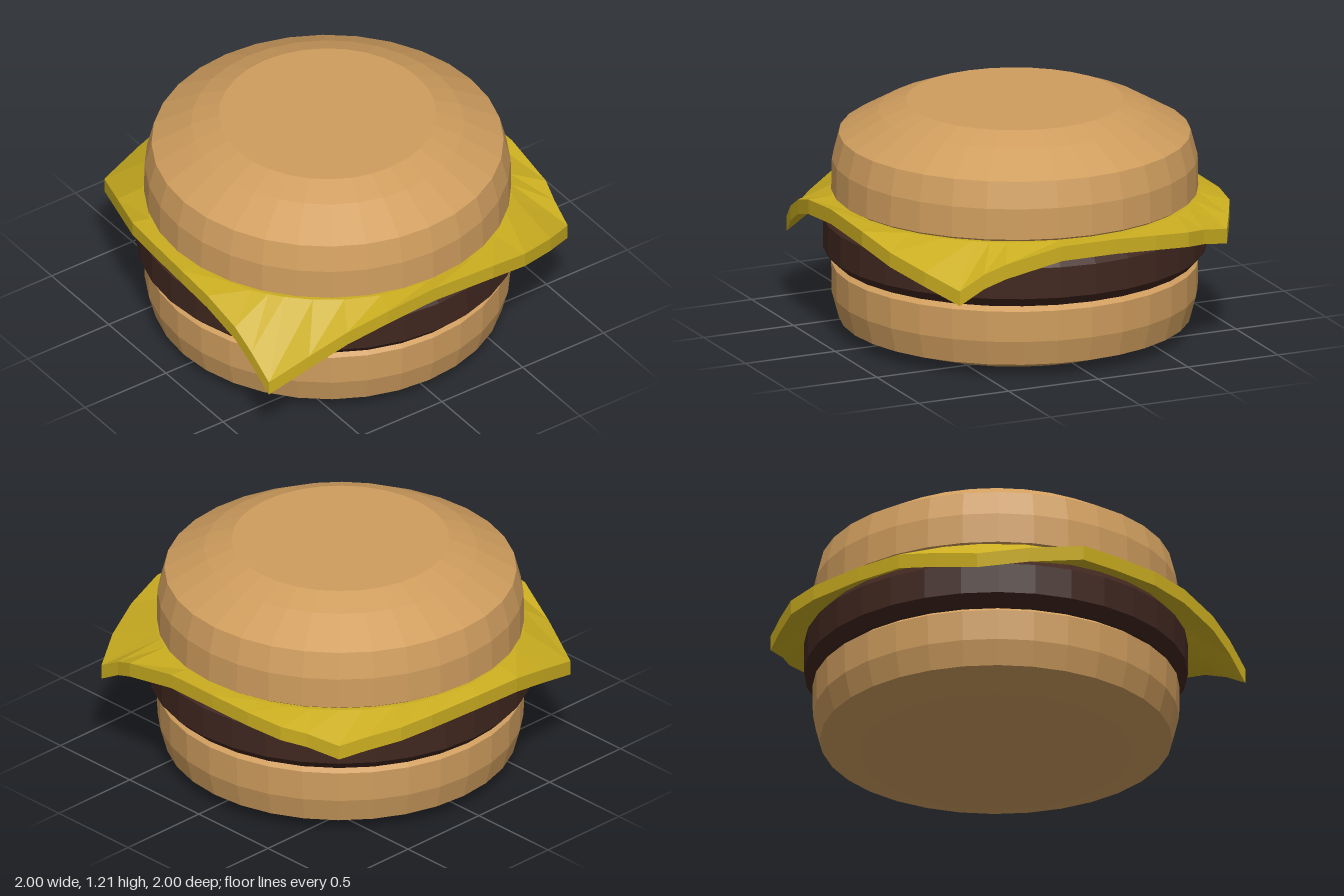
import * as THREE from 'three';

const material = (color) => new THREE.MeshStandardMaterial({ color, flatShading: true });

// Round layer turned from a [radius, height] profile, bottom to top
function layer(name, profile, mat) {
  const points = profile.map(([r, y]) => new THREE.Vector2(r, y));
  const mesh = new THREE.Mesh(new THREE.LatheGeometry(points, 32), mat);
  mesh.name = name;
  return mesh;
}

// Rim of the cheese slice, clockwise from above: [x, z, top height]
const rim = [
  [-0.81, -0.8, 0.635], [-0.65, -0.87, 0.67], [-0.53, -0.94, 0.69], [-0.33, -0.98, 0.71],
  [-0.1, -1, 0.725], [0.2, -1, 0.725], [0.51, -0.99, 0.665], [0.62, -0.965, 0.62],
  [0.75, -0.955, 0.545], [0.86, -0.77, 0.61], [0.95, -0.55, 0.665], [1, -0.32, 0.72],
  [1, 0.05, 0.735], [0.995, 0.33, 0.71], [0.95, 0.55, 0.645], [0.9, 0.75, 0.55],
  [0.83, 0.95, 0.43], [0.7, 0.965, 0.545], [0.57, 0.975, 0.63], [0.35, 0.99, 0.7],
  [0.13, 0.995, 0.725], [-0.13, 0.98, 0.725], [-0.35, 0.96, 0.72], [-0.63, 0.855, 0.65],
  [-0.9, 0.745, 0.565], [-0.95, 0.5, 0.63], [-0.99, 0.28, 0.68], [-1, 0, 0.695],
  [-0.99, -0.32, 0.7], [-0.96, -0.51, 0.69], [-0.88, -0.67, 0.665],
];

// Slice lies flat on the patty and droops from a circle out to the rim
function cheeseGeometry() {
  const thickness = 0.077, flatY = 0.728, flatR = 0.93, n = rim.length;
  const flat = rim.map(([x, z]) => {
    const k = flatR / Math.hypot(x, z);
    return [x * k, z * k, flatY];
  });
  const positions = [], index = [];
  for (const drop of [0, thickness]) {
    for (const [x, z, y] of [...flat, ...rim, [0, 0, flatY]]) positions.push(x, y - drop, z);
  }
  const under = 2 * n + 1;
  for (let i = 0; i < n; i++) {
    const j = (i + 1) % n, a = n + i, b = n + j;
    // top: flat middle and drooping border
    index.push(2 * n, j, i, i, j, b, i, b, a);
    // underside
    index.push(under + 2 * n, under + i, under + j);
    index.push(under + i, under + b, under + j, under + i, under + a, under + b);
    // cut edge
    index.push(a, b, under + b, a, under + b, under + a);
  }
  const geometry = new THREE.BufferGeometry();
  geometry.setAttribute('position', new THREE.Float32BufferAttribute(positions, 3));
  geometry.setIndex(index);
  geometry.computeVertexNormals();
  return geometry;
}

export function createModel() {
  const group = new THREE.Group();
  group.name = 'cheeseburger';
  const bread = material(0xcf9d5e);

  group.add(layer('bottomBun', [
    [0, 0], [0.69, 0], [0.89, 0.07], [0.925, 0.2], [0.928, 0.36], [0.89, 0.387], [0, 0.387],
  ], bread));

  group.add(layer('patty', [
    [0, 0.388], [0.92, 0.388], [0.97, 0.44], [0.97, 0.6], [0.92, 0.655], [0, 0.655],
  ], material(0x40271f)));

  const cheese = new THREE.Mesh(cheeseGeometry(), material(0xcaad20));
  cheese.name = 'cheeseSlice';
  group.add(cheese);

  group.add(layer('topBun', [
    [0, 0.715], [0.89, 0.715], [0.928, 0.74], [0.925, 0.9], [0.89, 1.035],
    [0.69, 1.15], [0.55, 1.205], [0, 1.205],
  ], bread));

  return group;
}
